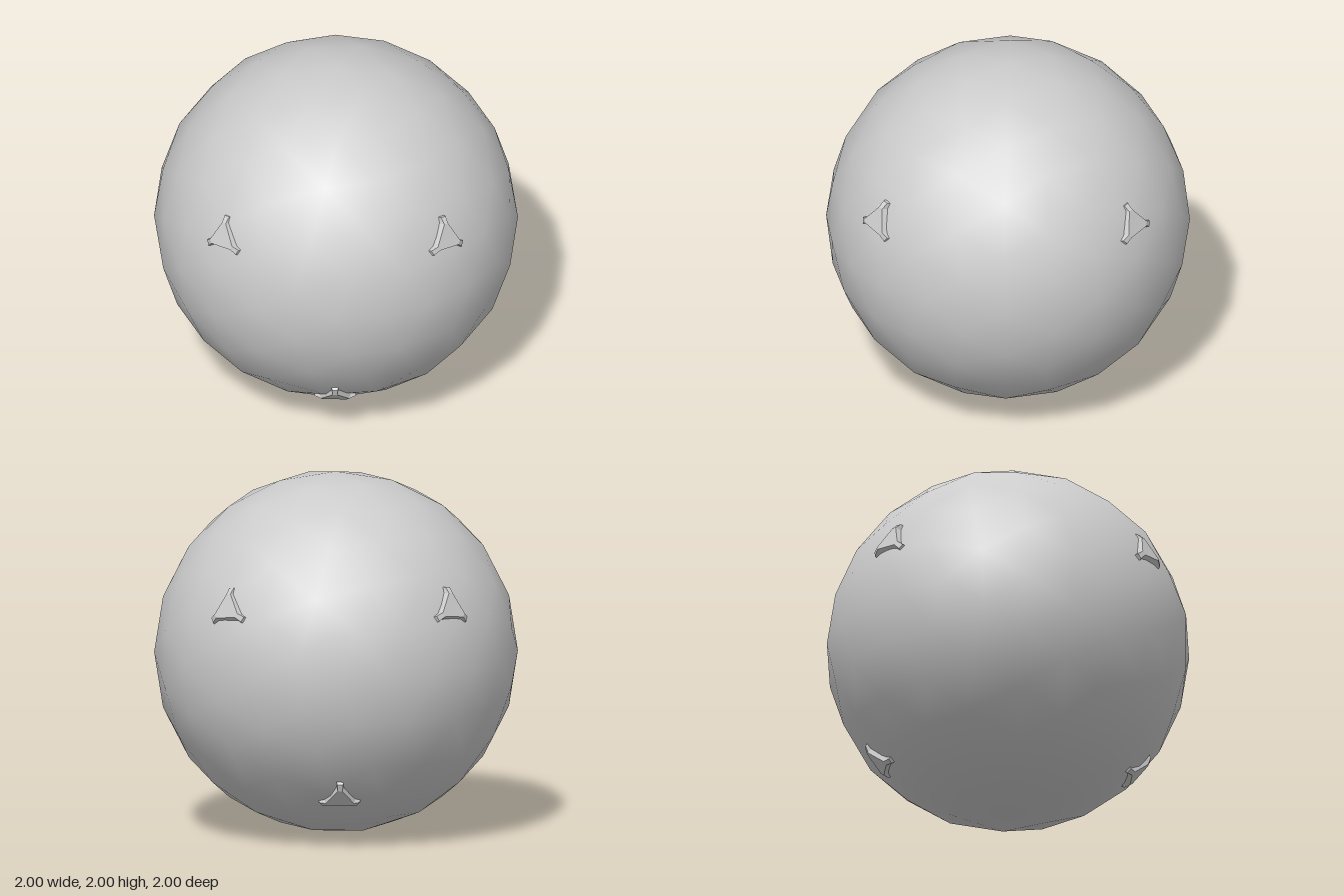
import * as THREE from 'three';

const DEG = Math.PI / 180;
const grey = new THREE.MeshStandardMaterial({ color: 0xcccccc });
const greyFlat = new THREE.MeshStandardMaterial({ color: 0xcccccc, flatShading: true });

// Unit ball: icosahedron split twice, each new point pushed out to the sphere
function ballGeometry() {
  const pole = new THREE.Vector3(0, 0, 1);
  const ring = (sign, start) => Array.from({ length: 5 }, (_, i) => {
    const a = (start + i * 72) * DEG;
    return new THREE.Vector3(Math.cos(a) * 2, Math.sin(a) * 2, sign).divideScalar(Math.sqrt(5));
  });
  const near = ring(1, 0), far = ring(-1, 36), back = pole.clone().negate();
  let faces = [];
  for (let i = 0; i < 5; i++) {
    const j = (i + 1) % 5;
    faces.push([pole, near[i], near[j]], [near[i], far[i], near[j]],
      [far[i], far[j], near[j]], [back, far[j], far[i]]);
  }
  const mid = (a, b) => a.clone().add(b).normalize();
  for (let n = 0; n < 2; n++) {
    faces = faces.flatMap(([a, b, c]) => {
      const ab = mid(a, b), bc = mid(b, c), ca = mid(c, a);
      return [[a, ab, ca], [ab, b, bc], [ca, bc, c], [ab, bc, ca]];
    });
  }
  const points = faces.flat().flatMap((p) => p.toArray());
  const g = new THREE.BufferGeometry();
  g.setAttribute('position', new THREE.Float32BufferAttribute(points, 3));
  g.setAttribute('normal', new THREE.Float32BufferAttribute(points, 3));
  return g;
}

// Bevelled triangular stud with a short sloping nub at each corner.
// z is the distance from the centre of the ball.
function studGeometry() {
  // Each corner gives four points, counter-clockwise: shoulder, tip, tip, shoulder
  const outline = (shoulder, tip) => [0, 1, 2].flatMap((k) => {
    const a = (90 + k * 120) * DEG, c = Math.cos(a), s = Math.sin(a);
    const at = ({ r, w, z }, side) =>
      new THREE.Vector3(c * r - s * w * side, s * r + c * w * side, z);
    return [at(shoulder, -1), at(tip, -1), at(tip, 1), at(shoulder, 1)];
  });
  const top = outline({ r: 0.082, w: 0.013, z: 1.013 }, { r: 0.12, w: 0.016, z: 0.994 });
  const base = outline({ r: 0.094, w: 0.027, z: 0.95 }, { r: 0.128, w: 0.024, z: 0.95 });
  const points = [];
  const tri = (...p) => p.forEach((v) => points.push(v.x, v.y, v.z));
  const quad = (a, b, c, d) => { tri(a, b, c); tri(a, c, d); };
  const centre = new THREE.Vector3(0, 0, 1.013);
  for (let i = 0; i < 12; i++) {
    const j = (i + 1) % 12;
    quad(base[i], base[j], top[j], top[i]);              // side walls
    if (i % 4 === 0) {
      quad(top[i], top[i + 1], top[i + 2], top[i + 3]);  // nub
      tri(centre, top[i], top[i + 3]);                   // flat face
      tri(centre, top[i + 3], top[(i + 4) % 12]);
    }
  }
  const g = new THREE.BufferGeometry();
  g.setAttribute('position', new THREE.Float32BufferAttribute(points, 3));
  g.computeVertexNormals();
  return g;
}

export function createModel() {
  const model = new THREE.Group();
  model.name = 'studdedBall';

  const ball = new THREE.Mesh(ballGeometry(), grey);
  ball.name = 'ball';
  ball.position.y = 1;
  model.add(ball);

  const stud = studGeometry();
  const addStud = (name, azimuth, elevation, roll) => {
    const m = new THREE.Mesh(stud, greyFlat);
    m.name = name;
    m.position.y = 1;
    m.rotation.set(-elevation * DEG, azimuth * DEG, roll * DEG, 'YXZ');
    model.add(m);
  };

  // Four upper studs, mirrored left-right and front-back
  addStud('upperStudFrontLeft', 41, 20.5, -7);
  addStud('upperStudFrontRight', -41, 20.5, 7);
  addStud('upperStudBackLeft', 139, 20.5, 7);
  addStud('upperStudBackRight', -139, 20.5, -7);

  // Two lower studs on the centre line
  addStud('lowerStudFront', 0, -45, 0);
  addStud('lowerStudBack', 180, -45, 0);

  return model;
}
